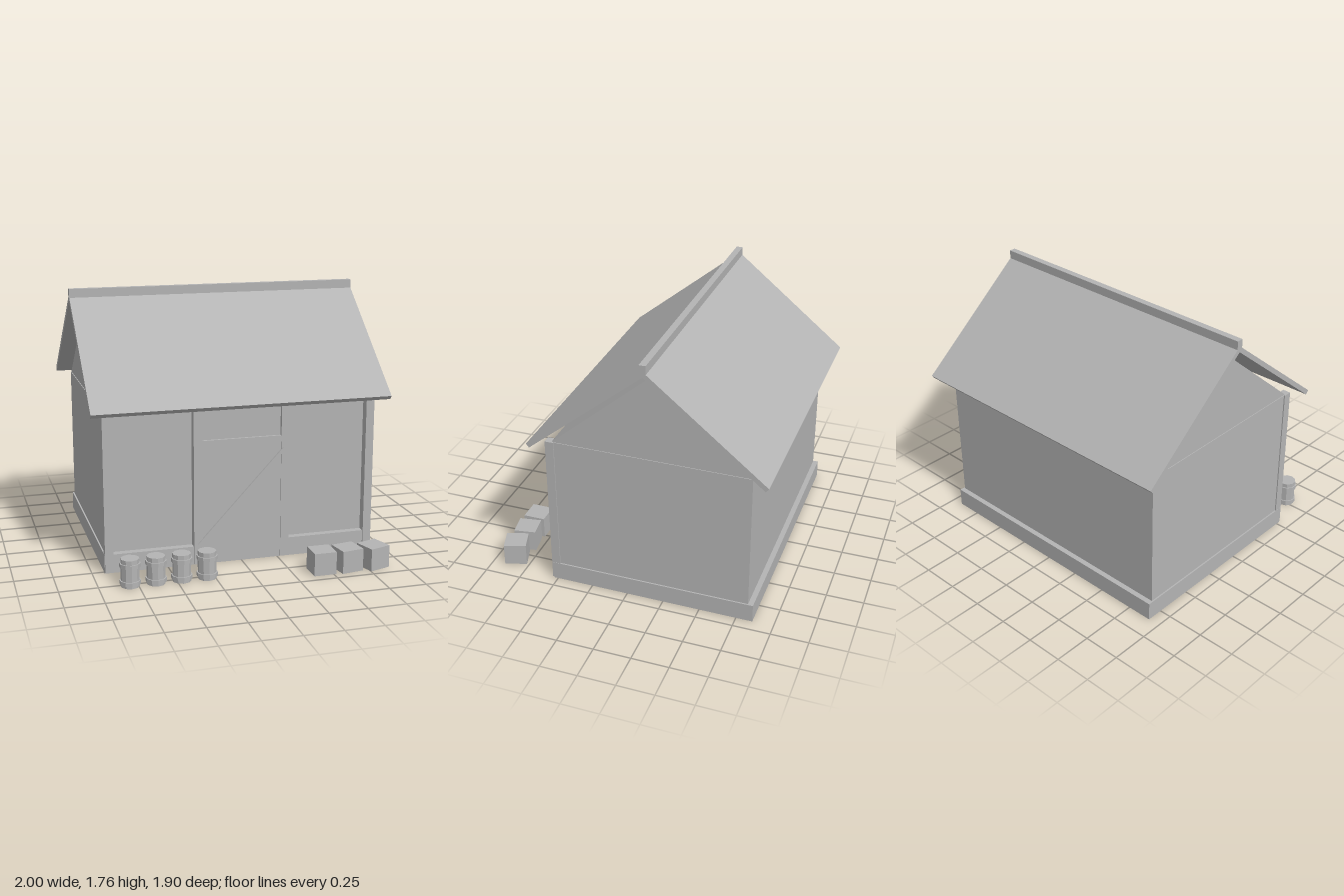
import * as THREE from 'three';

const grey = new THREE.MeshStandardMaterial({ color: 0xb4b4b4 });
grey.name = 'plain grey';

function add(parent, name, geometry) {
  const mesh = new THREE.Mesh(geometry, grey);
  mesh.name = name;
  parent.add(mesh);
  return mesh;
}

// Box given by its extents along each axis
function span(parent, name, [x0, x1], [y0, y1], [z0, z1]) {
  const mesh = add(parent, name, new THREE.BoxGeometry(x1 - x0, y1 - y0, z1 - z0));
  mesh.position.set((x0 + x1) / 2, (y0 + y1) / 2, (z0 + z1) / 2);
  return mesh;
}

// Solid made by running a (z, y) outline along x
function prism(parent, name, outline, halfWidth) {
  const shape = new THREE.Shape(outline.map(([z, y]) => new THREE.Vector2(-z, y)));
  const geometry = new THREE.ExtrudeGeometry(shape, { depth: 2 * halfWidth, bevelEnabled: false });
  geometry.translate(0, 0, -halfWidth).rotateY(Math.PI / 2);
  return add(parent, name, geometry);
}

function makeBarrel(x, z) {
  const barrel = new THREE.Group();
  barrel.name = 'barrel';
  const sides = 10;
  add(barrel, 'barrelBody', new THREE.CylinderGeometry(0.06, 0.06, 0.185, sides).toNonIndexed())
    .position.y = 0.0925;
  for (const y of [0.03, 0.143]) {
    add(barrel, 'barrelHoop', new THREE.CylinderGeometry(0.068, 0.068, 0.026, sides).toNonIndexed())
      .position.y = y;
  }
  // Faceted sides
  barrel.children.forEach((mesh) => mesh.geometry.computeVertexNormals());
  barrel.position.set(x, 0, z);
  return barrel;
}

export function createModel() {
  const model = new THREE.Group();
  model.name = 'shed';
  const ridgeZ = -0.16;

  // Foundation and walls
  span(model, 'foundation', [-0.92, 0.92], [0, 0.125], [-0.86, 0.528]);
  span(model, 'walls', [-0.91, 0.91], [0.125, 1.065], [-0.825, 0.48]);
  prism(model, 'gable', [[0.497, 1.065], [-0.825, 1.065], [ridgeZ, 1.627]], 0.905);

  // Front posts
  for (const s of [-1, 1]) {
    span(model, 'cornerPost', s < 0 ? [-0.918, -0.862] : [0.862, 0.918], [0.005, 1.067], [0.48, 0.538]);
    span(model, 'doorPost', s < 0 ? [-0.326, -0.268] : [0.268, 0.326], [0.005, 1.067], [0.48, 0.538]);
  }

  // Door with sill, lintel panel and diagonal brace
  span(model, 'doorSill', [-0.268, 0.268], [0.008, 0.045], [0.48, 0.53]);
  span(model, 'door', [-0.268, 0.268], [0.045, 0.84], [0.48, 0.532]);
  span(model, 'lintelPanel', [-0.268, 0.268], [0.84, 1.065], [0.48, 0.515]);
  const brace = add(model, 'doorBrace', new THREE.BoxGeometry(0.85, 0.018, 0.015));
  brace.position.set(-0.005, 0.445, 0.5385);
  brace.rotation.z = Math.atan2(0.58, 0.545);

  // Roof slopes, as thin slabs meeting at the ridge
  const run = 0.787, drop = 0.64;
  for (const s of [1, -1]) {
    const slab = [[0, 1.72], [run, 1.72 - drop], [run - 0.02, 1.72 - drop - 0.025], [0, 1.68]]
      .map(([z, y]) => [ridgeZ + s * z, y]);
    prism(model, s > 0 ? 'frontRoof' : 'backRoof', slab, 1);
  }
  span(model, 'ridgeCap', [-1, 1], [1.7, 1.76], [ridgeZ - 0.022, ridgeZ + 0.022]);

  // Barrels on the right of the door
  for (let i = 0; i < 4; i++) model.add(makeBarrel(-0.801 + i * 0.1665, 0.77));

  // Crates on the left, each turned a little more
  [[0.442, 0], [0.62, 0.165], [0.8, 0.31]].forEach(([x, turn]) => {
    const crate = add(model, 'crate', new THREE.BoxGeometry(0.15, 0.15, 0.15));
    crate.position.set(x, 0.075, 0.862);
    crate.rotation.y = turn;
  });

  return model;
}
